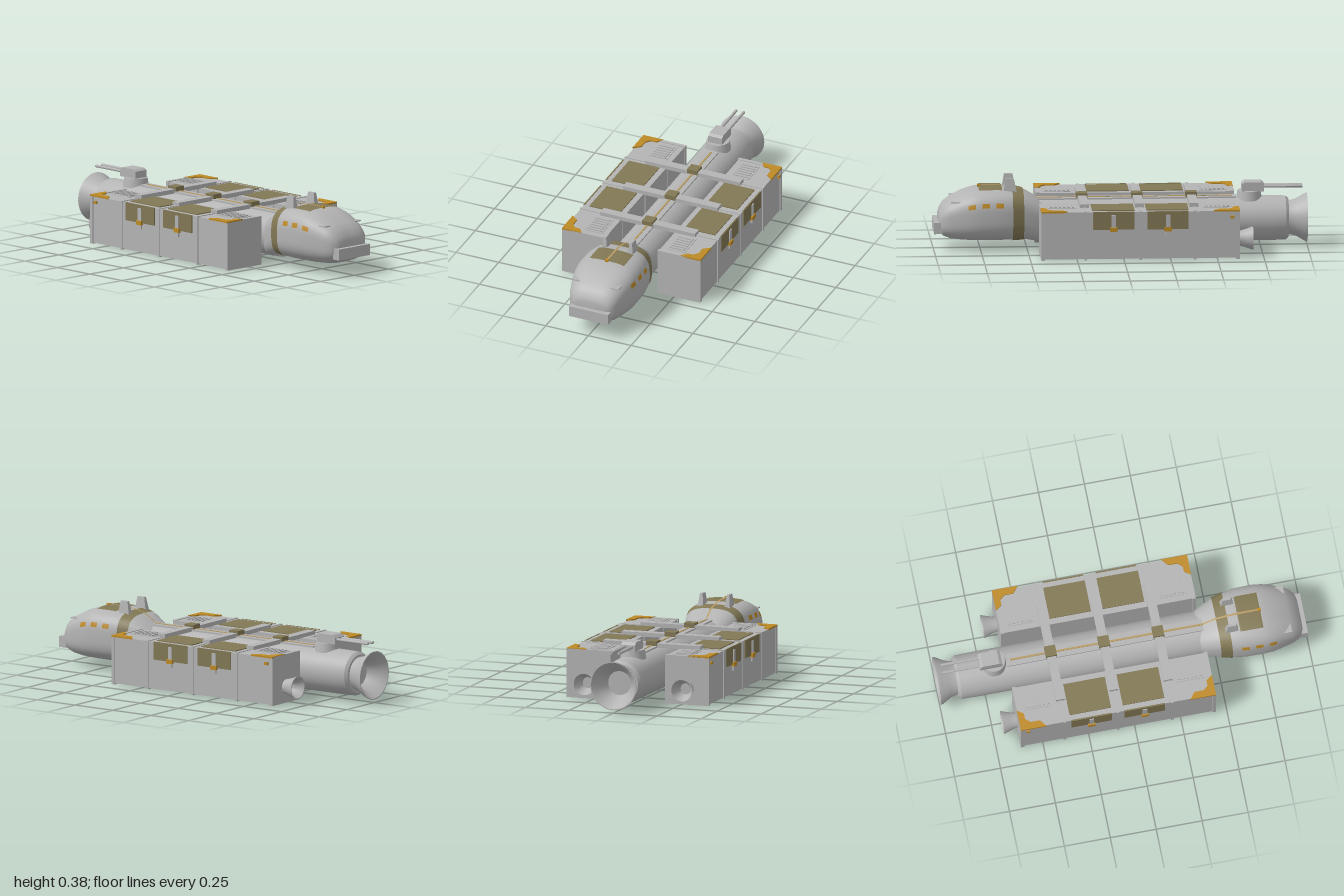
import * as THREE from 'three';
import { mergeVertices, toCreasedNormals } from 'three/addons/utils/BufferGeometryUtils.js';

const mat = (name, color) => new THREE.MeshStandardMaterial({ name, color });

export function createModel() {
  const hull = mat('hull grey', 0xb4b4b4);
  const olive = mat('olive panel', 0x827855);
  const gold = mat('gold trim', 0xbd8a26);
  const tan = mat('tan stripe', 0xb59a62);
  const root = new THREE.Group();
  root.name = 'cargoShip';

  const add = (parent, name, geo, material) => {
    const m = new THREE.Mesh(geo, material);
    m.name = name;
    parent.add(m);
    return m;
  };
  // Box given by its min and max on each axis
  const box = (parent, name, material, x0, x1, y0, y1, z0, z1) => {
    const g = new THREE.BoxGeometry(x1 - x0, y1 - y0, Math.abs(z1 - z0));
    g.translate((x0 + x1) / 2, (y0 + y1) / 2, (z0 + z1) / 2);
    return add(parent, name, g, material);
  };
  // Turned part along x from [x, radius] points
  const turned = (parent, name, material, pts, y, z, seg = 40) => {
    const g = new THREE.LatheGeometry(pts.map(([x, r]) => new THREE.Vector2(r, x)), seg);
    g.rotateZ(-Math.PI / 2).translate(0, y, z);
    return add(parent, name, toCreasedNormals(g, 0.6), material);
  };

  // Central spine and tail
  turned(root, 'spine', hull, [[-0.9, 0], [-0.9, 0.105], [-0.885, 0.118], [-0.8, 0.12],
    [0.46, 0.12], [0.46, 0]], 0.145, 0);
  turned(root, 'mainNozzle', hull, [[-0.9, 0], [-0.9, 0.065], [-0.95, 0.085], [-0.995, 0.122],
    [-1, 0.126], [-1, 0.131], [-0.985, 0.126], [-0.94, 0.1], [-0.895, 0.088], [-0.88, 0.088]], 0.147, 0);
  box(root, 'spineRail', hull, -0.62, 0.47, 0.25, 0.268, -0.034, 0.034);
  box(root, 'spineStripe', tan, -0.6, 0.46, 0.266, 0.271, -0.005, 0.005);

  // Head: rounded-square sections [x, bottom, top, half width]
  const stations = [
    [0.42, 0.03, 0.25, 0.115], [0.45, 0.04, 0.27, 0.127], [0.52, 0.053, 0.312, 0.152],
    [0.58, 0.05, 0.325, 0.167], [0.65, 0.05, 0.333, 0.18], [0.75, 0.05, 0.333, 0.181],
    [0.8, 0.051, 0.322, 0.177], [0.85, 0.053, 0.306, 0.165], [0.91, 0.06, 0.275, 0.148],
    [0.945, 0.072, 0.25, 0.133], [0.968, 0.088, 0.215, 0.11], [0.975, 0.105, 0.19, 0.085],
    [0.976, 0.147, 0.147, 0]];
  const section = x => {
    let i = 0;
    while (i < stations.length - 2 && x > stations[i + 1][0]) i++;
    const a = stations[i], b = stations[i + 1];
    const t = (x - a[0]) / (b[0] - a[0]);
    return a.map((v, k) => v + (b[k] - v) * t);
  };
  const headPoint = (x, angle, lift) => {
    const [, lo, hi, half] = section(x);
    const c = Math.cos(angle), s = Math.sin(angle);
    const pow = v => Math.sign(v) * Math.abs(v) ** (2 / 3);
    return [x, (lo + hi) / 2 + ((hi - lo) / 2 + lift) * pow(s), (half + lift) * pow(c)];
  };
  const patch = (name, material, xs, a0, a1, na, lift) => {
    const pos = [], idx = [], n = na + 1;
    xs.forEach((x, i) => {
      for (let j = 0; j <= na; j++) {
        pos.push(...headPoint(x, a0 + (a1 - a0) * j / na, lift));
        if (i && j) {
          const d = i * n + j, c = d - 1, b = d - n, a = b - 1;
          idx.push(a, c, d, a, d, b);
        }
      }
    });
    let g = new THREE.BufferGeometry();
    g.setAttribute('position', new THREE.Float32BufferAttribute(pos, 3));
    g.setIndex(idx);
    g = mergeVertices(g, 1e-5);
    g.computeVertexNormals();
    return add(root, name, g, material);
  };
  const span = (a, b, n) => Array.from({ length: n + 1 }, (_, i) => a + (b - a) * i / n);
  const deg = Math.PI / 180;
  patch('head', hull, stations.map(s => s[0]), 0, Math.PI * 2, 64, 0);
  patch('headBand', olive, [0.52, 0.55, 0.58], 0, Math.PI * 2, 64, 0.004);
  patch('roofPanel', olive, [0.635, 0.65, 0.7, 0.75, 0.76], 66 * deg, 114 * deg, 12, 0.004);
  patch('roofStripe', tan, span(0.45, 0.76, 12), 89.7 * deg, 90.3 * deg, 2, 0.006);
  for (const x of [0.63, 0.705, 0.78]) {
    patch('window', gold, span(x, x + 0.04, 2), 12.5 * deg, 23 * deg, 3, 0.004);
    patch('window', gold, span(x, x + 0.04, 2), 157 * deg, 167.5 * deg, 3, 0.004);
  }
  box(root, 'roofLamp', gold, 0.745, 0.765, 0.33, 0.342, -0.008, 0.008);
  box(root, 'noseBumper', hull, 0.955, 1, 0.095, 0.155, -0.115, 0.115);

  for (const s of [1, -1]) {
    // Tapered roof fin
    const fin = new THREE.BoxGeometry(0.075, 0.08, 0.034);
    const p = fin.attributes.position;
    for (let i = 0; i < p.count; i++) if (p.getY(i) > 0) {
      p.setX(i, p.getX(i) * 0.6 + 0.002);
      p.setZ(i, p.getZ(i) * 0.45);
    }
    fin.computeVertexNormals();
    add(root, 'roofFin', fin, hull).position.set(0.592, 0.345, s * 0.076);
    box(root, 'browVent', hull, 0.86, 0.91, 0.264, 0.27, s * 0.09, s * 0.135);
  }

  // Gun turret on the tail
  const turret = new THREE.Group();
  turret.name = 'turret';
  root.add(turret);
  add(turret, 'turretBase', new THREE.CylinderGeometry(0.062, 0.07, 0.05, 32), hull).position.set(-0.69, 0.272, 0);
  const profile = new THREE.Shape([[-0.77, 0.295], [-0.65, 0.295], [-0.65, 0.335], [-0.665, 0.345],
    [-0.755, 0.345], [-0.77, 0.33]].map(q => new THREE.Vector2(...q)));
  add(turret, 'turretHousing', new THREE.ExtrudeGeometry(profile, { depth: 0.08, bevelEnabled: false })
    .translate(0, 0, -0.04), hull);
  for (const s of [1, -1]) turned(turret, 'gunBarrel', hull,
    [[-0.975, 0], [-0.975, 0.008], [-0.76, 0.008]], 0.32, s * 0.022, 10);

  // Crossbars with clamps
  for (const x of [-0.38, -0.09, 0.205]) {
    box(root, 'crossbar', hull, x - 0.024, x + 0.024, 0.258, 0.281, -0.278, 0.278);
    box(root, 'crossbarClamp', olive, x - 0.03, x + 0.03, 0.262, 0.293, -0.03, 0.03);
  }

  // Cargo pods, one on each side
  for (const s of [1, -1]) {
    const pod = new THREE.Group();
    pod.name = s > 0 ? 'frontPod' : 'backPod';
    root.add(pod);
    const pbox = (name, m, x0, x1, y0, y1, z0, z1) => box(pod, name, m, x0, x1, y0, y1, s * z0, s * z1);
    pbox('podBody', hull, -0.615, 0.435, 0.006, 0.26, 0.158, 0.4);
    for (const [x, w] of [[-0.61, 0.01], [-0.38, 0.007], [-0.09, 0.007], [0.205, 0.007], [0.432, 0.01]])
      pbox('podHoop', hull, x - w, x + w, 0, 0.264, 0.154, 0.405);

    // Doors, straps and clasps
    for (const x of [-0.235, 0.055]) {
      pbox('topDoor', olive, x - 0.113, x + 0.113, 0.257, 0.265, 0.19, 0.368);
      pbox('sideDoor', olive, x - 0.11, x + 0.11, 0.165, 0.262, 0.397, 0.405);
      pbox('strap', hull, x - 0.012, x + 0.012, 0.132, 0.245, 0.4, 0.41);
      pbox('clasp', gold, x - 0.02, x + 0.02, 0.155, 0.178, 0.4, 0.416);
    }
    pbox('sideLamp', gold, -0.59, -0.57, 0.22, 0.235, 0.398, 0.41);

    // Louvred vents and corner plates at both ends
    for (const e of [1, -1]) {
      const cx = e > 0 ? 0.325 : -0.505;
      pbox('ventFrame', hull, cx - 0.075, cx + 0.075, 0.256, 0.263, 0.19, 0.295);
      for (let i = 0; i < 6; i++) {
        const x = cx - 0.058 + i * 0.023;
        pbox('ventSlat', hull, x - 0.006, x + 0.006, 0.26, 0.269, 0.2, 0.285);
      }
      const edge = e > 0 ? 0.442 : -0.62;
      const corner = new THREE.Shape([[0, 0.406], [0.14, 0.406], [0.11, 0.368], [0.06, 0.368],
        [0.034, 0.345], [0.034, 0.315], [0, 0.29]].map(([x, z]) => new THREE.Vector2(edge - e * x, s * z)));
      add(pod, 'cornerPlate', new THREE.ExtrudeGeometry(corner, { depth: 0.009, bevelEnabled: false })
        .rotateX(Math.PI / 2).translate(0, 0.267, 0), gold);
    }

    // Small thruster
    turned(pod, 'podNozzle', hull, [[-0.63, 0], [-0.63, 0.03], [-0.665, 0.04], [-0.697, 0.058],
      [-0.697, 0.063], [-0.66, 0.05], [-0.625, 0.04], [-0.61, 0.04]], 0.088, s * 0.278, 28);
  }
  return root;
}
